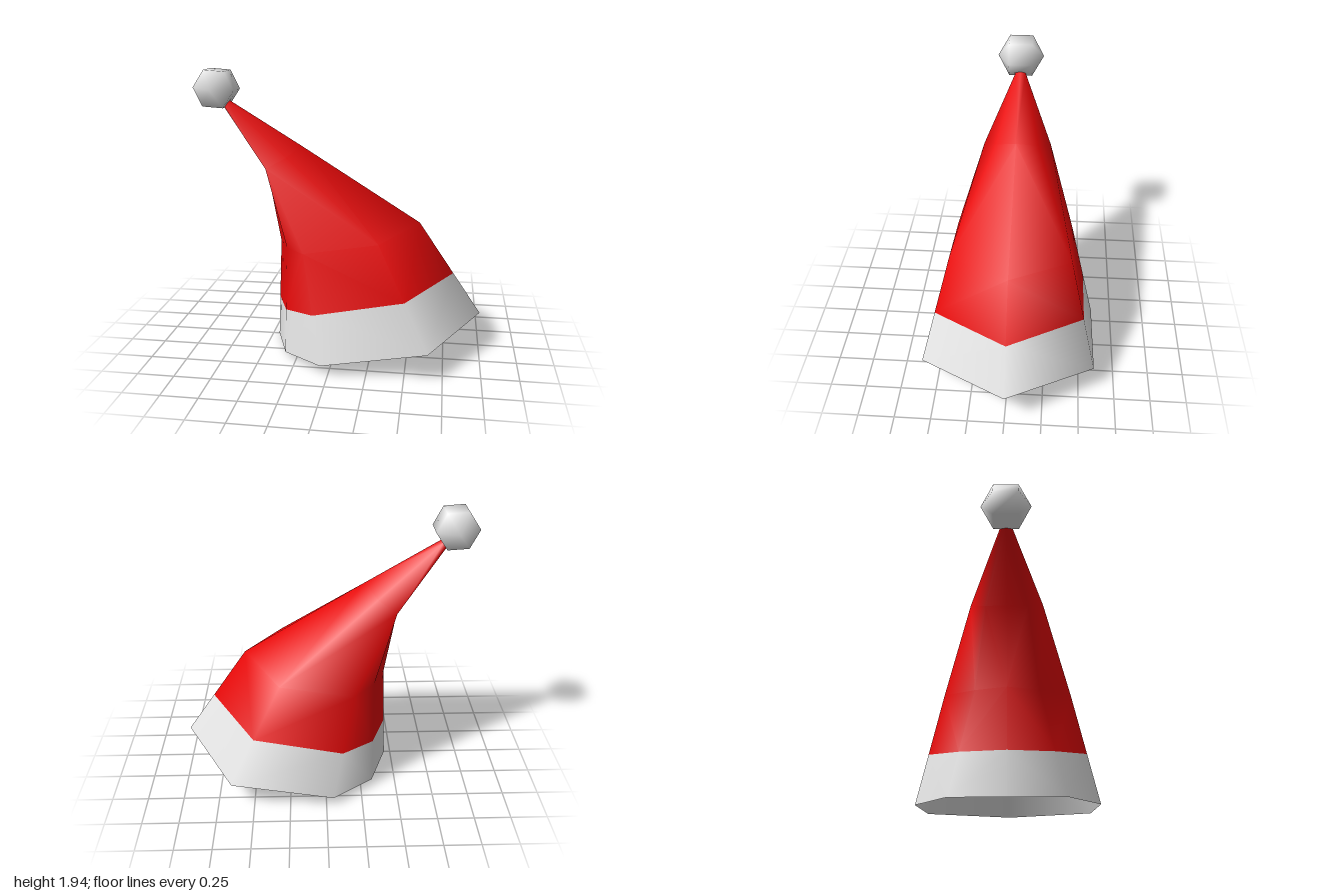
import * as THREE from 'three';

// Half cross-sections of the hat, listed from the +x point round to the -x point
const brim = [[1, 0.25, 0], [0.65, 0.19, 0.6], [-0.05, 0.065, 0.6], [-0.33, 0.035, 0.37], [-0.455, 0, 0]];
const crown = [[0.56, 0.9, 0], [0.31, 0.86, 0.42], [-0.19, 0.775, 0.42], [-0.34, 0.745, 0.21], [-0.425, 0.73, 0]];
const fold = [[-0.27, 1.42, 0], [-0.35, 1.36, 0.15], [-0.47, 1.3, 0.24], [-0.485, 1.29, 0.14], [-0.49, 1.29, 0]];
const tip = [[-0.77, 1.725, 0], [-0.775, 1.71, 0.035], [-0.79, 1.69, 0.04], [-0.8, 1.68, 0.03], [-0.805, 1.68, 0]];
// Height of the trim edge, as a fraction of the way from brim to crown
const trimTop = [0.446, 0.47, 0.45, 0.41, 0.41];

// Mirror a half section across z = 0 into a closed ring of eight points
const mirrorRing = half => [...half, ...half.slice(1, 4).reverse().map(([x, y, z]) => [x, y, -z])];

function hatGeometry() {
  const trim = brim.map((p, i) => p.map((v, j) => v + (crown[i][j] - v) * trimTop[i]));
  const rings = [brim, trim, crown, fold, tip].map(mirrorRing);
  const n = rings[0].length;
  const points = rings.flat().map(p => new THREE.Vector3(...p));
  const index = [];
  const plane = new THREE.Plane();
  for (let r = 0; r < rings.length - 1; r++) {
    for (let k = 0; k < n; k++) {
      const a = r * n + k, b = r * n + (k + 1) % n, c = b + n, d = a + n;
      // Split each quad along the diagonal that bulges outwards
      plane.setFromCoplanarPoints(points[a], points[d], points[c]);
      if (plane.distanceToPoint(points[b]) <= 0) index.push(a, d, c, a, c, b);
      else index.push(a, d, b, d, c, b);
    }
  }
  // Close the tip with a fan
  const base = (rings.length - 1) * n, centre = points.length;
  points.push(new THREE.Vector3(-0.79, 1.7, 0));
  for (let k = 0; k < n; k++) index.push(base + k, centre, base + (k + 1) % n);

  const geometry = new THREE.BufferGeometry().setFromPoints(points);
  geometry.setIndex(index);
  geometry.computeVertexNormals();
  // First band is the trim, the rest is the cloth
  geometry.addGroup(0, n * 6, 0);
  geometry.addGroup(n * 6, index.length - n * 6, 1);
  return geometry;
}

export function createModel() {
  const white = new THREE.MeshStandardMaterial({ name: 'white fur', color: 0xe8e8e8, side: THREE.DoubleSide });
  const red = new THREE.MeshStandardMaterial({ name: 'red cloth', color: 0xec0808, side: THREE.DoubleSide });
  const group = new THREE.Group();
  group.name = 'hat';

  // Open cone of cloth with its trim
  const body = new THREE.Mesh(hatGeometry(), [white, red]);
  body.name = 'hatBody';
  group.add(body);

  // Bobble at the tip, with its poles along z
  const ball = new THREE.SphereGeometry(0.165, 6, 3);
  ball.rotateX(Math.PI / 2).rotateZ(-0.07);
  const bobble = new THREE.Mesh(ball, white);
  bobble.name = 'bobble';
  bobble.position.set(-0.858, 1.807, 0);
  group.add(bobble);

  return group;
}
